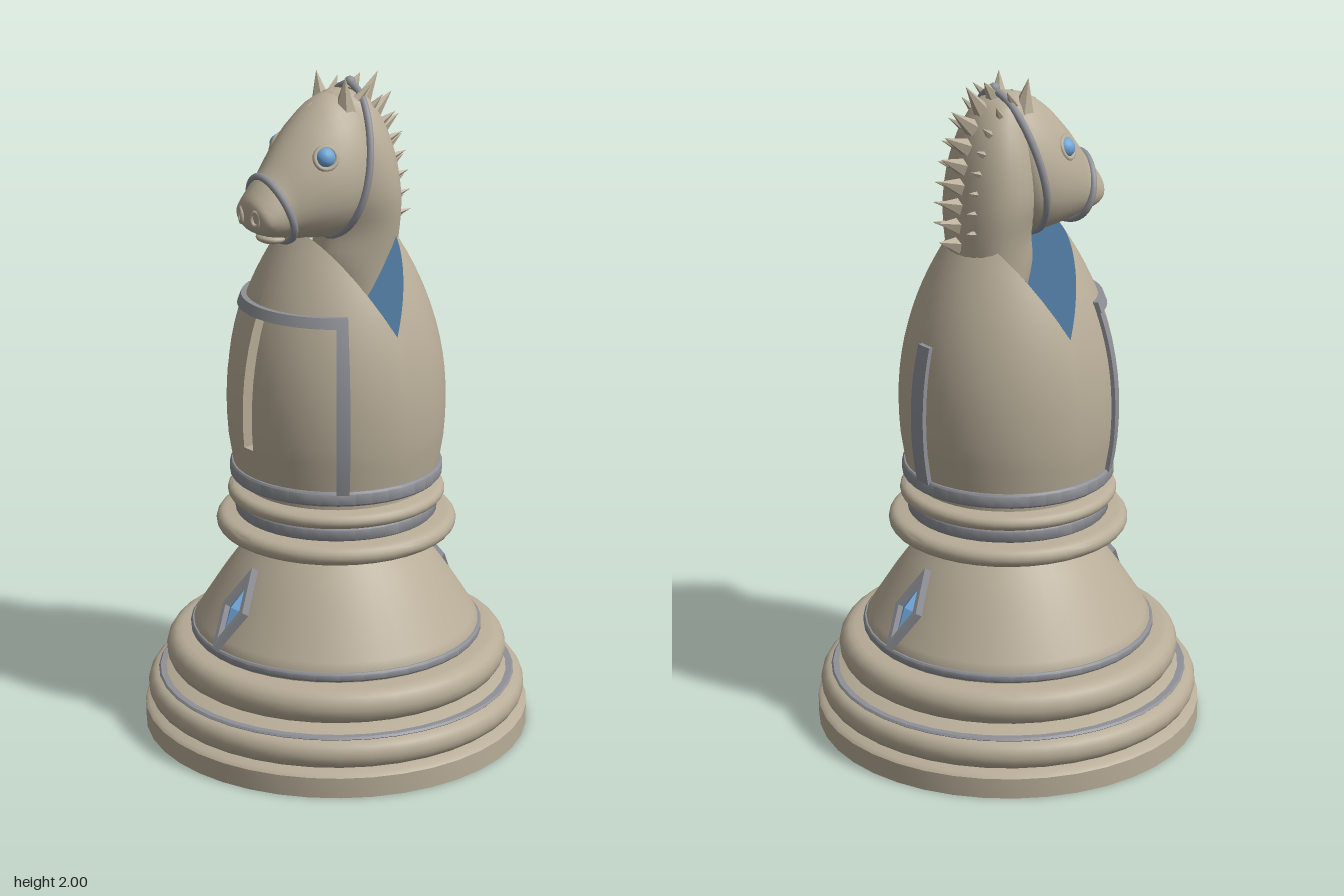
import * as THREE from 'three';
import { toCreasedNormals } from 'three/addons/utils/BufferGeometryUtils.js';

const material = (name, color, side = THREE.FrontSide) => {
  const m = new THREE.MeshStandardMaterial({ color, side });
  m.name = name;
  return m;
};

// Surface from a rule fn(column, row) -> Vector3; columns run right, rows run up, seen from outside
function grid(cols, rows, fn, crease = 0.7) {
  const pos = [], index = [];
  for (let j = 0; j <= rows; j++)
    for (let i = 0; i <= cols; i++) pos.push(...fn(i, j).toArray());
  for (let j = 0; j < rows; j++)
    for (let i = 0; i < cols; i++) {
      const a = j * (cols + 1) + i, b = a + 1, d = a + cols + 1, c = d + 1;
      index.push(a, b, c, a, c, d);
    }
  const g = new THREE.BufferGeometry();
  g.setAttribute('position', new THREE.Float32BufferAttribute(pos, 3));
  g.setIndex(index);
  return toCreasedNormals(g, crease);
}

// Body radius at a height, and the height where the V groove cuts the body
const bodyRadius = y => 0.325 - 0.654 * Math.pow(Math.abs(y - 1.02), 2.14);
function grooveHeight(phi) {
  let lo = 1.2, hi = 1.6;
  for (let k = 0; k < 30; k++) {
    const y = (lo + hi) / 2;
    if (y < 1.28 + 1.87 * bodyRadius(y) * Math.abs(Math.cos(phi))) lo = y; else hi = y;
  }
  return lo;
}
const polar = (phi, y, r) => new THREE.Vector3(r * Math.sin(phi), y, r * Math.cos(phi));

// Egg-shaped cross-section between a top and a bottom point; top.x holds the half width
const egg = (top, bot, a) => {
  const t = (1 + Math.cos(a)) / 2;
  return new THREE.Vector3(
    top.x * Math.sin(a) * (1 - 0.2 * Math.cos(a)),
    bot.y + (top.y - bot.y) * t,
    bot.z + (top.z - bot.z) * t);
};

// Loft through sections [topZ, topY, bottomZ, bottomY, halfWidth]
function loft(sections, rows) {
  const tops = new THREE.CatmullRomCurve3(sections.map(s => new THREE.Vector3(s[4], s[1], s[0])));
  const bots = new THREE.CatmullRomCurve3(sections.map(s => new THREE.Vector3(0, s[3], s[2])));
  return grid(28, rows, (i, j) =>
    egg(tops.getPoint(j / rows), bots.getPoint(j / rows), (i % 28) / 28 * Math.PI * 2), 1.1);
}

export function createModel() {
  const group = new THREE.Group();
  const stone = material('stone', 0xb8ad98, THREE.DoubleSide);
  const metal = material('metal', 0x8f9197);
  const blue = material('blue', 0x6ea6d8, THREE.DoubleSide);
  const add = (name, geo, mat) => {
    const m = new THREE.Mesh(geo, mat);
    m.name = name;
    group.add(m);
    return m;
  };
  const lathe = (name, pts, mat) => add(name, toCreasedNormals(
    new THREE.LatheGeometry(pts.map(p => new THREE.Vector2(...p)), 40), 0.7), mat);

  // Turned base with rounded rings, bell and collar
  const bump = (inner, outer, y, h) => [...Array(9).keys()].map(k => {
    const a = -Math.PI / 2 + k * Math.PI / 8;
    return [inner + (outer - inner) * Math.cos(a), y + h * Math.sin(a)];
  });
  lathe('base', [
    [0, 0], [0.585, 0], [0.585, 0.062], [0.575, 0.072], [0.545, 0.076],
    ...bump(0.54, 0.575, 0.12, 0.042), [0.53, 0.165], [0.49, 0.185],
    ...bump(0.47, 0.517, 0.24, 0.052), [0.435, 0.295], [0.432, 0.33],
    [0.42, 0.35], [0.388, 0.4], [0.356, 0.45], [0.321, 0.5], [0.283, 0.55], [0.235, 0.6],
    [0.29, 0.617], ...bump(0.33, 0.36, 0.65, 0.028), [0.295, 0.683], [0.295, 0.72],
    ...bump(0.3, 0.325, 0.745, 0.022), [0.28, 0.772], [0.28, 0.8], [0, 0.8]], stone);
  const band = (name, r, y0, y1) => lathe(name,
    [[r - 0.05, y0], [r - 0.005, y0], [r, y0 + 0.006], [r, y1 - 0.006], [r - 0.005, y1], [r - 0.05, y1]], metal);
  band('bellBand', 0.442, 0.298, 0.325);
  band('collarBand', 0.302, 0.68, 0.722);
  band('bodyBand', 0.317, 0.795, 0.838);
  band('lowerRingBand', 0.543, 0.158, 0.17);

  // Body with a V groove across the top and a narrow slit in front
  const half = 0.07, angles = [];
  for (let k = -24; k <= 24; k++) {
    if (k) angles.push([k * Math.PI / 24, 0]);
    else angles.push([-half, 0], [-half, 1], [0, 1], [half, 1], [half, 0]);
  }
  const y0 = 0.82, peak = grooveHeight(0);
  const fraction = y => (y - y0) / (peak - y0);
  const levels = [[0, 0], [fraction(0.93), 0]];
  for (let k = 0; k <= 8; k++) levels.push([fraction(0.93 + 0.05 * k), 1]);
  levels.push([fraction(1.33), 0]);
  for (let k = 1; k <= 6; k++) levels.push([fraction(1.33) + (1 - fraction(1.33)) * k / 6, 0]);
  add('body', grid(angles.length - 1, levels.length - 1, (i, j) => {
    const [phi, inX] = angles[i], [t, inY] = levels[j];
    const y = y0 + (grooveHeight(phi) - y0) * t;
    return polar(phi, y, bodyRadius(y) - (inX && inY ? 0.05 : 0));
  }), stone);
  add('grooveFaces', grid(4, 48, (i, j) => {
    const phi = j / 48 * Math.PI, y = grooveHeight(phi);
    const p = polar(phi, y, bodyRadius(y));
    p.x *= i / 2 - 1;
    return p;
  }), blue);

  // Trim slabs bent around the body
  const slab = (name, p0, p1, ya, yb, out, inner, mat) => {
    const g = new THREE.BoxGeometry(1, 1, 1, 20, 10, 1), p = g.attributes.position;
    for (let i = 0; i < p.count; i++) {
      const phi = p0 + (p1 - p0) * (p.getX(i) + 0.5), y = ya + (yb - ya) * (p.getY(i) + 0.5);
      const v = polar(phi, y, bodyRadius(y) + (p.getZ(i) > 0 ? out : inner));
      p.setXYZ(i, v.x, v.y, v.z);
    }
    add(name, toCreasedNormals(g, 0.7), mat);
  };
  slab('slitFloor', -half, half, 0.93, 1.33, -0.044, -0.052, blue);
  slab('frontRail', -1.04, 1.04, 1.322, 1.352, 0.016, -0.02, metal);
  slab('leftRail', 0.92, 1.04, 0.83, 1.33, 0.012, -0.02, metal);
  slab('rightRail', -1.04, -0.92, 0.83, 1.33, 0.012, -0.02, metal);
  slab('backRail', Math.PI - 0.085, Math.PI + 0.085, 0.83, 1.25, 0.013, -0.02, metal);

  // Diamond ornaments on the bell, front and back
  const rhombus = (Type, w, h) => {
    const s = new Type();
    s.moveTo(0, -h); s.lineTo(w, 0); s.lineTo(0, h); s.lineTo(-w, 0); s.closePath();
    return s;
  };
  const frame = rhombus(THREE.Shape, 0.05, 0.132);
  frame.holes.push(rhombus(THREE.Path, 0.035, 0.098));
  for (const turn of [0, Math.PI]) {
    const ornament = new THREE.Group();
    ornament.name = turn ? 'backDiamond' : 'frontDiamond';
    const rim = new THREE.Mesh(new THREE.ExtrudeGeometry(frame, { depth: 0.035, bevelEnabled: false }), metal);
    const gem = new THREE.Mesh(new THREE.OctahedronGeometry(1).scale(0.034, 0.097, 0.025), blue);
    rim.name = 'diamondFrame';
    gem.name = 'diamondGem';
    rim.position.z = -0.015;
    ornament.add(rim, gem);
    ornament.position.set(0, 0.435, 0.37).applyAxisAngle(new THREE.Vector3(0, 1, 0), turn);
    ornament.rotation.set(-0.59, turn, 0, 'YXZ');
    group.add(ornament);
  }

  // Horse neck (bottom to top) and head (muzzle to skull)
  add('neck', loft([
    [0.03, 1.25, -0.08, 1.25, 0.09], [0.045, 1.36, -0.15, 1.36, 0.105],
    [0.07, 1.46, -0.18, 1.45, 0.115], [0.06, 1.55, -0.19, 1.55, 0.13],
    [0.085, 1.66, -0.185, 1.65, 0.148], [0.085, 1.78, -0.165, 1.77, 0.135],
    [0.07, 1.88, -0.13, 1.87, 0.1], [0.04, 1.945, -0.08, 1.935, 0.06],
    [-0.01, 1.955, -0.02, 1.955, 0]], 24), stone);
  add('head', loft([
    [0.318, 1.63, 0.316, 1.62, 0], [0.315, 1.672, 0.295, 1.578, 0.07],
    [0.292, 1.705, 0.255, 1.56, 0.087], [0.25, 1.755, 0.215, 1.55, 0.096],
    [0.19, 1.83, 0.18, 1.545, 0.118], [0.12, 1.9, 0.12, 1.538, 0.143],
    [0.05, 1.945, 0.05, 1.535, 0.153], [-0.03, 1.95, -0.01, 1.56, 0.135],
    [-0.07, 1.85, -0.05, 1.65, 0]], 28), stone);
  const lip = add('lowerLip', new THREE.SphereGeometry(1, 16, 10).scale(0.05, 0.016, 0.04), stone);
  lip.position.set(0, 1.553, 0.235);

  // Bridle straps
  const strap = (name, top, bot, r) => {
    const pts = [...Array(24).keys()].map(k => egg(top, bot, k / 24 * Math.PI * 2));
    add(name, new THREE.TubeGeometry(new THREE.CatmullRomCurve3(pts, true), 48, r, 8, true), metal);
  };
  strap('cheekStrap', new THREE.Vector3(0.157, 1.962, -0.05), new THREE.Vector3(0, 1.533, 0.05), 0.011);
  strap('noseband', new THREE.Vector3(0.1, 1.735, 0.268), new THREE.Vector3(0, 1.542, 0.205), 0.011);
  add('strapStud', new THREE.SphereGeometry(0.017, 12, 8), metal).position.set(0, 1.968, -0.05);

  // Spikes shared by ears, forelock and mane
  const spike = (name, base, tip, r, sides) => {
    const a = new THREE.Vector3(...base), d = new THREE.Vector3(...tip).sub(a), len = d.length();
    const m = add(name, toCreasedNormals(new THREE.ConeGeometry(r, len, sides).translate(0, len / 2, 0), 0.5), stone);
    m.position.copy(a);
    m.quaternion.setFromUnitVectors(new THREE.Vector3(0, 1, 0), d.normalize());
  };
  spike('forelock', [0, 1.935, 0.01], [0, 1.918, 0.105], 0.022, 6);

  // Paired features: eyes, nostrils, ears
  for (const s of [1, -1]) {
    add('eye', new THREE.SphereGeometry(0.03, 16, 12), blue).position.set(s * 0.108, 1.79, 0.122);
    const lid = add('eyelid', new THREE.TorusGeometry(0.032, 0.007, 8, 20), stone);
    lid.position.set(s * 0.116, 1.79, 0.125);
    lid.rotation.set(-0.35, s * 1.15, 0, 'YXZ');
    const nostril = add('nostril', new THREE.TorusGeometry(0.017, 0.006, 8, 16), stone);
    nostril.position.set(s * 0.035, 1.625, 0.313);
    nostril.rotation.y = s * 0.4;
    nostril.scale.set(0.8, 1.2, 1);
    spike('ear', [s * 0.055, 1.9, 0.01], [s * 0.068, 2, 0.02], 0.034, 6);
  }

  // Mane: a tall centre row and two short side rows
  const crest = new THREE.CatmullRomCurve3([[1.945, -0.05], [1.87, -0.125], [1.77, -0.16],
    [1.65, -0.178], [1.53, -0.183]].map(([y, z]) => new THREE.Vector3(0, y, z)));
  for (let k = 0; k < 9; k++) {
    const p = crest.getPointAt(k / 8), t = crest.getTangentAt(k / 8);
    const ny = -t.z * 0.9 + 0.25, nz = t.y;
    const len = 0.092 - 0.003 * k - (k === 0 ? 0.04 : 0);
    spike('maneSpike', [0, p.y, p.z], [0, p.y + ny * len, p.z + nz * len], 0.027, 5);
    if (k < 8) for (const s of [1, -1])
      spike('sideManeSpike', [s * 0.06, p.y - 0.015, p.z + 0.022],
        [s * 0.08, p.y - 0.015 + ny * 0.05, p.z + 0.022 + nz * 0.055], 0.016, 5);
  }
  return group;
}
